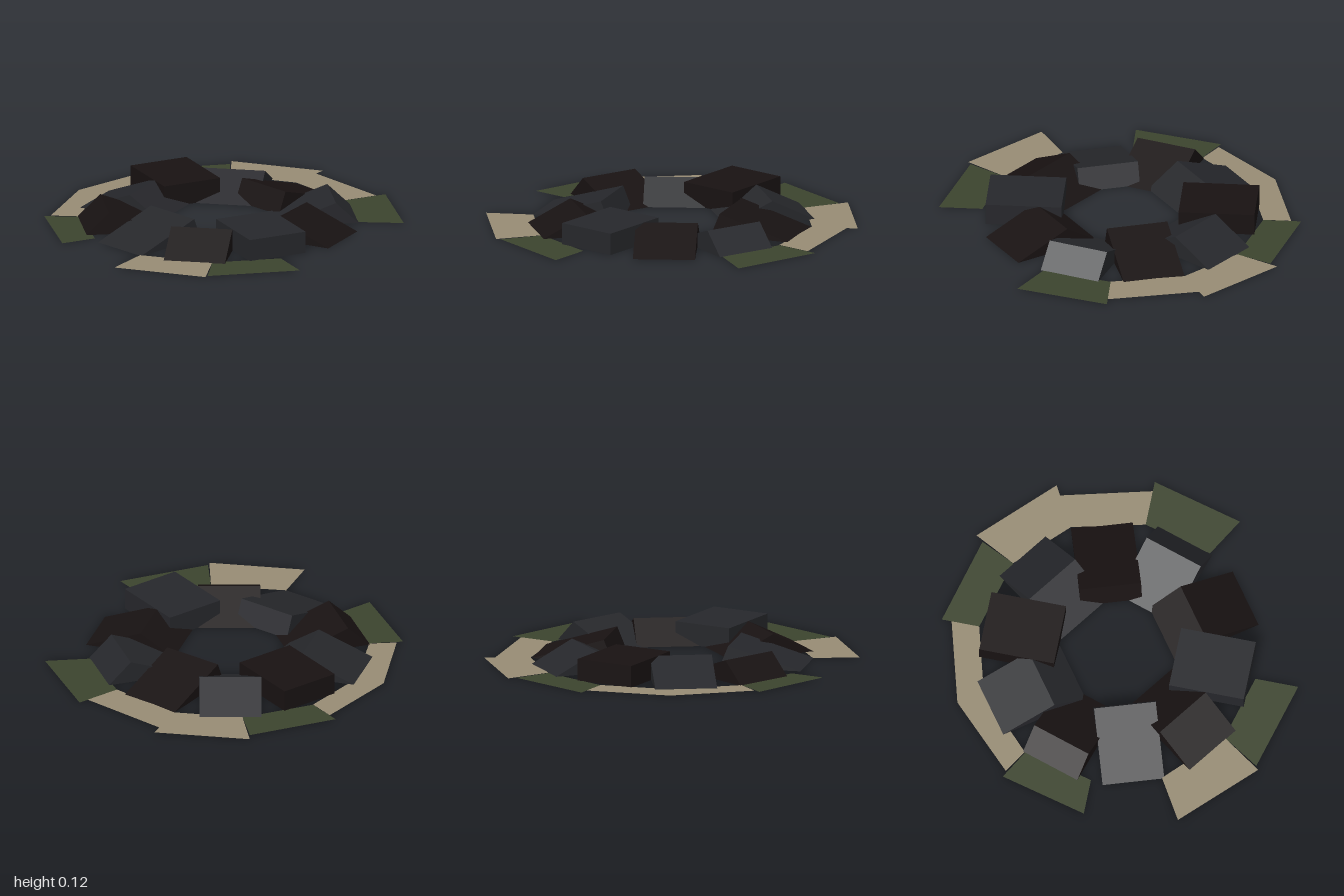
import * as THREE from 'three';

const material = (color, extra = {}) => new THREE.MeshStandardMaterial({ color, ...extra });

// Extrudes a radius/height section across the block's width, pointing along +z
function blockGeometry(section, width) {
  const shape = new THREE.Shape(section.map(([r, y]) => new THREE.Vector2(r, y)));
  const geometry = new THREE.ExtrudeGeometry(shape, { depth: width, bevelEnabled: false });
  geometry.translate(0, 0, -width / 2);
  geometry.rotateY(-Math.PI / 2);
  return geometry;
}

// Flat ground piece from [x, z] corners
function groundPiece(name, corners, y, mat) {
  const shape = new THREE.Shape(corners.map(([x, z]) => new THREE.Vector2(x, z)));
  const mesh = new THREE.Mesh(new THREE.ShapeGeometry(shape).rotateX(Math.PI / 2), mat);
  mesh.position.y = y;
  mesh.name = name;
  return mesh;
}

export function createModel() {
  const model = new THREE.Group();
  model.name = 'stoneRing';

  const greyStone = material(0x26272b, { flatShading: true });
  const darkStone = material(0x181212, { flatShading: true });
  const olive = material(0x3c442e, { side: THREE.DoubleSide });
  const tan = material(0x978c74, { side: THREE.DoubleSide });

  // Ring of ten stones: a box, then four wedges with shifting ridges, repeated twice
  const height = 0.122, width = 0.342;
  const wedge = (inner, ridge, outer) => [[inner, 0], [outer, 0], [ridge, height]];
  const sections = [
    [[0.323, 0], [0.742, 0], [0.742, height], [0.323, height]],
    wedge(0.27, 0.46, 0.775),
    wedge(0.3, 0.63, 0.757),
    wedge(0.3, 0.35, 0.757),
    wedge(0.27, 0.53, 0.775),
  ];
  const geometries = sections.map((section) => blockGeometry(section, width));
  const stones = new THREE.Group();
  stones.name = 'stones';
  stones.position.set(-0.033, 0, -0.013);
  for (let k = 0; k < 10; k++) {
    const stone = new THREE.Mesh(geometries[k % 5], k % 2 ? darkStone : greyStone);
    stone.rotation.y = (k * Math.PI) / 5;
    stone.name = k % 5 ? 'wedgeStone' : 'boxStone';
    stones.add(stone);
  }
  model.add(stones);

  // Olive ground patches
  const patches = [
    [[-0.03, -1], [0.46, -0.87], [0.37, -0.68], [-0.03, -0.79]],
    [[0.99, -0.01], [0.855, 0.495], [0.64, 0.37], [0.735, -0.01]],
    [[-0.03, 1], [-0.53, 0.865], [-0.4, 0.66], [-0.03, 0.76]],
    [[-0.99, -0.01], [-0.865, -0.49], [-0.69, -0.39], [-0.79, -0.01]],
  ];
  patches.forEach((p) => model.add(groundPiece('olivePatch', p, 0.001, olive)));

  // Tan ground strips
  const strips = [
    [[-0.03, -0.945], [-0.49, -0.82], [-0.83, -0.48], [-0.7, -0.4], [-0.4, -0.69], [-0.03, -0.79]],
    [[0.49, -0.91], [0.865, -0.535], [0.81, -0.505], [0.935, -0.01], [0.735, -0.01], [0.64, -0.41], [0.37, -0.68]],
    [[-0.925, 0.505], [-0.55, 0.88], [-0.4, 0.66], [-0.7, 0.37]],
  ];
  strips.forEach((s) => model.add(groundPiece('tanStrip', s, 0.002, tan)));

  return model;
}
